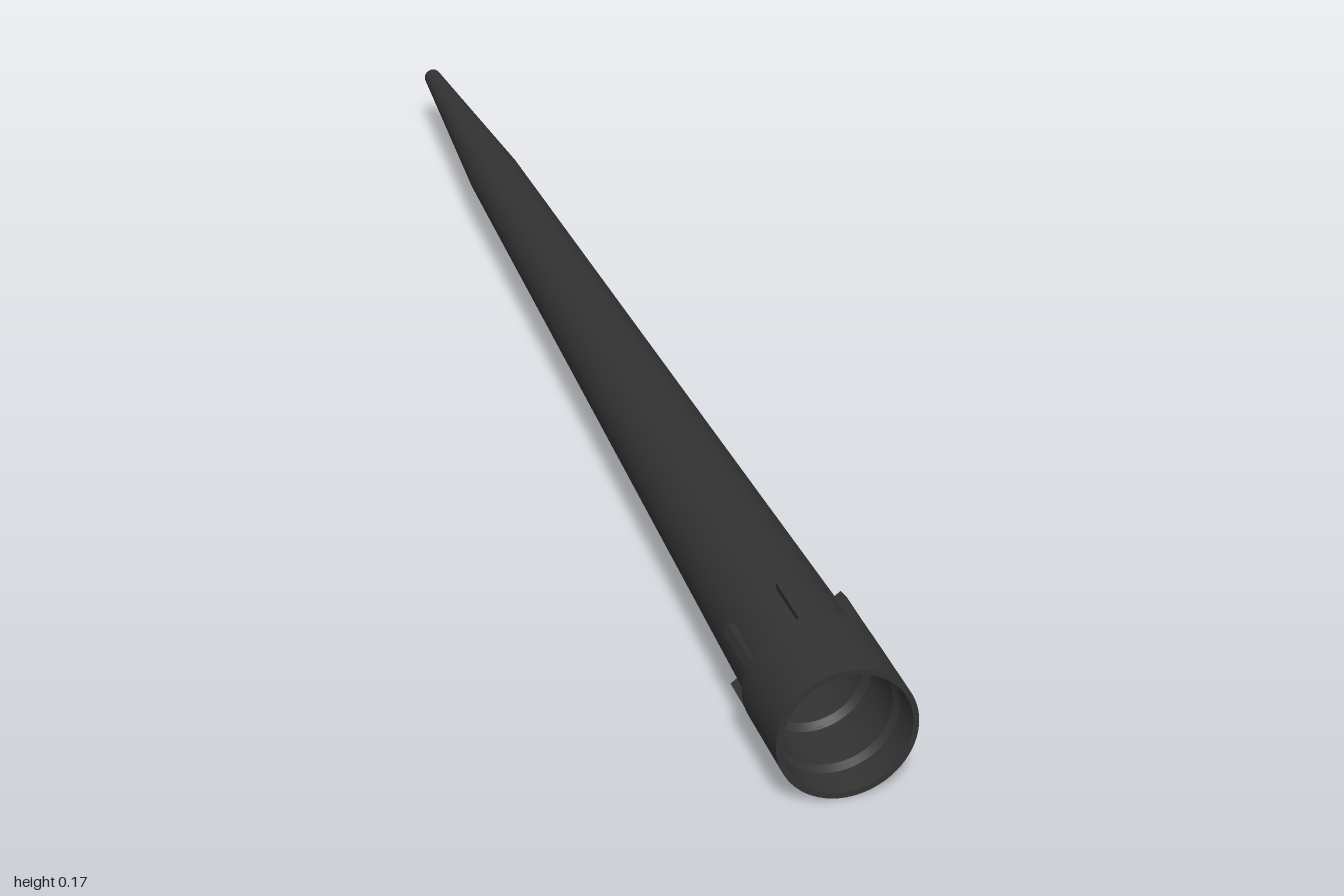
import * as THREE from 'three';
import { mergeGeometries } from 'three/addons/utils/BufferGeometryUtils.js';

const SIDES = 64;
const RADIUS = 0.087;
const material = new THREE.MeshStandardMaterial({ color: 0x333333 });

// Surface of revolution about z from [radius, z] points, with a sharp edge at each point
function turned(name, points) {
  const bands = [];
  for (let i = 0; i < points.length - 1; i++) {
    const pair = [points[i], points[i + 1]].map(([r, z]) => new THREE.Vector2(r, z));
    bands.push(new THREE.LatheGeometry(pair, SIDES));
  }
  const mesh = new THREE.Mesh(mergeGeometries(bands).rotateX(Math.PI / 2), material);
  mesh.name = name;
  return mesh;
}

export function createModel() {
  const group = new THREE.Group();
  group.name = 'taperedTip';
  const axis = new THREE.Group();
  axis.name = 'tube';
  axis.position.y = RADIUS;
  group.add(axis);

  // Long tapered outside, steeper towards the nozzle
  axis.add(turned('taperedBody', [[0.010, -1], [0.013, -1], [0.039, -0.6], [0.078, 0.875]]));

  // Wider collar with its open rim
  axis.add(turned('collar', [[0.078, 0.875], [RADIUS, 0.875], [RADIUS, 1], [0.080, 1]]));

  // Stepped socket narrowing into the through bore
  axis.add(turned('bore', [
    [0.080, 1], [0.078, 0.96], [0.073, 0.95], [0.072, 0.88],
    [0.066, 0.87], [0.029, -0.6], [0.010, -1],
  ]));

  // Six short ribs running from the collar along the body
  const ribs = new THREE.Group();
  ribs.name = 'ribs';
  for (let i = 0; i < 6; i++) {
    const angle = THREE.MathUtils.degToRad(98 + i * 60);
    const rib = new THREE.Mesh(new THREE.BoxGeometry(0.016, 0.013, 0.088), material);
    rib.name = 'rib';
    rib.position.set(Math.cos(angle) * 0.0785, Math.sin(angle) * 0.0785, 0.834);
    rib.rotation.z = angle;
    ribs.add(rib);
  }
  axis.add(ribs);

  return group;
}
